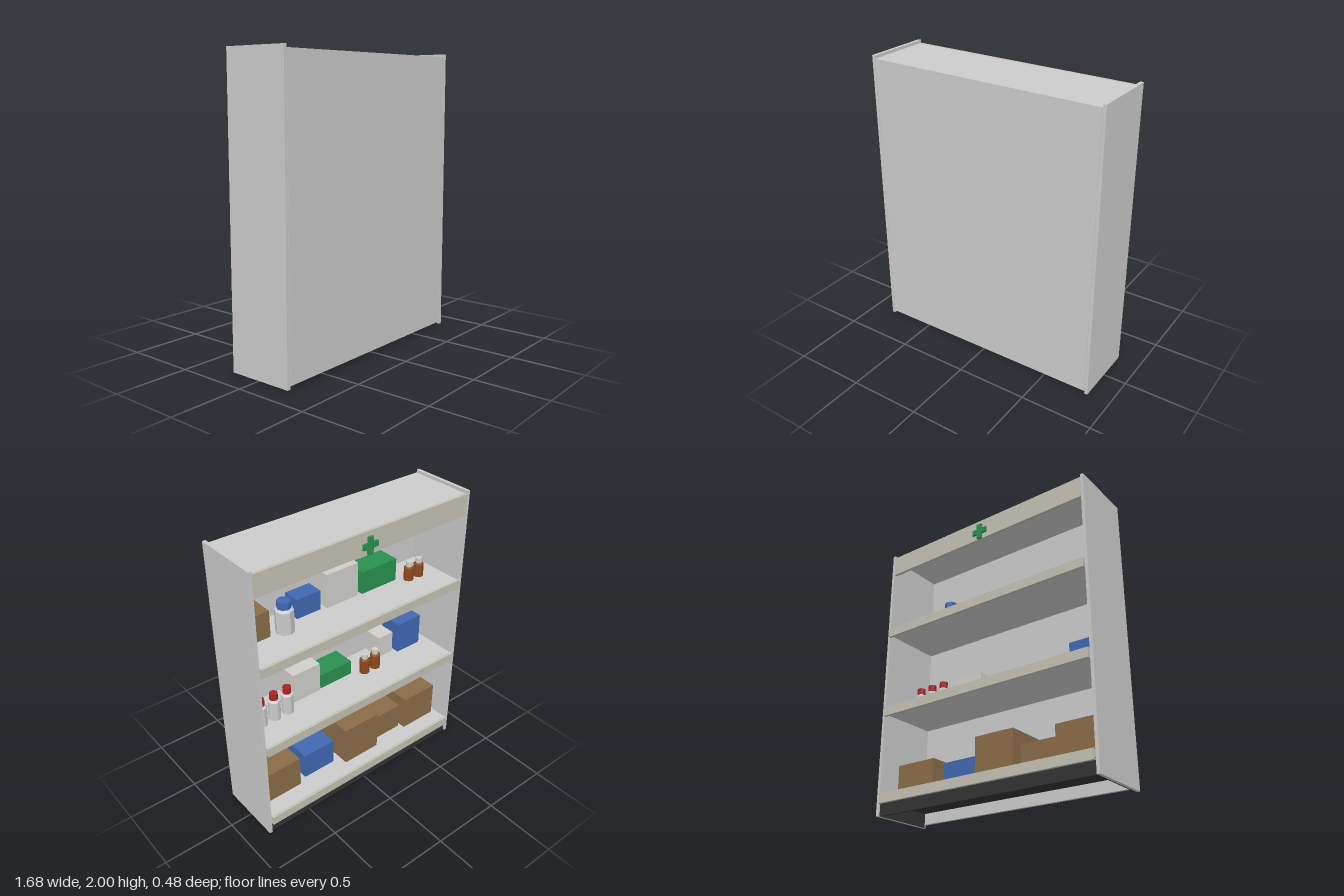
import * as THREE from 'three';

const mat = (color) => new THREE.MeshStandardMaterial({ color, flatShading: true });
const GREY = mat(0xcccccc), TRIM = mat(0xc4c1b4), DARK = mat(0x333333), BROWN = mat(0x8a6c48),
  BLUE = mat(0x4068b2), GREEN = mat(0x2a9050), PALE = mat(0xd0cfca), WHITE = mat(0xdcdcdc),
  AMBER = mat(0x8f4a1c), RED = mat(0xa82424);

export function createModel() {
  const root = new THREE.Group();

  const add = (name, geometry, material, x, y, z, parent = root) => {
    const mesh = new THREE.Mesh(geometry, material);
    mesh.name = name;
    mesh.position.set(x, y, z);
    parent.add(mesh);
    return mesh;
  };
  // Box given by its lower and upper limits on each axis
  const slab = (name, material, [x0, x1], [y0, y1], [z0, z1], parent) =>
    add(name, new THREE.BoxGeometry(x1 - x0, y1 - y0, z1 - z0), material,
      (x0 + x1) / 2, (y0 + y1) / 2, (z0 + z1) / 2, parent);

  // Cabinet shell, open towards -z
  for (const s of [-1, 1])
    add('sidePanel', new THREE.BoxGeometry(0.022, 2, 0.465), GREY, s * 0.829, 1, 0.0075);
  const inner = [-0.816, 0.816];
  slab('backPanel', GREY, inner, [0.02, 1.98], [0.22, 0.24]);
  slab('topPanel', GREY, inner, [1.96, 1.98], [-0.205, 0.22]);
  slab('header', TRIM, inner, [1.83, 1.98], [-0.225, -0.205]);

  // Green cross on the header
  const cross = new THREE.Group();
  cross.name = 'cross';
  cross.position.set(0, 1.888, -0.232);
  add('crossUpright', new THREE.BoxGeometry(0.038, 0.115, 0.016), GREEN, 0, 0, 0, cross);
  for (const s of [-1, 1])
    add('crossArm', new THREE.BoxGeometry(0.0385, 0.038, 0.016), GREEN, s * 0.03825, 0, 0, cross);
  root.add(cross);

  // Shelves with front lips
  const shelfTops = [0.13, 0.74, 1.35];
  for (const top of shelfTops) {
    slab('shelf', GREY, inner, [top - 0.03, top], [-0.222, 0.22]);
    slab('shelfLip', TRIM, inner, [top - 0.05, top + 0.015], [-0.242, -0.222]);
  }

  // Hollow dark plinth below the lowest shelf
  slab('plinthFront', DARK, inner, [0, 0.1], [-0.215, -0.2]);
  slab('plinthCover', DARK, inner, [0.097, 0.1], [-0.2, 0.22]);
  for (const s of [-1, 1])
    add('plinthEnd', new THREE.BoxGeometry(0.006, 0.098, 0.42), DARK, s * 0.813, 0.049, 0.01);

  // Boxes: shelf, material, x, z, width, height, depth
  const boxes = [
    [0, BROWN, 0.63, 0.06, 0.31, 0.235, 0.3],
    [0, BLUE, 0.285, 0.07, 0.255, 0.195, 0.255],
    [0, BROWN, -0.05, 0.035, 0.295, 0.295, 0.32],
    [0, BROWN, -0.34, 0.07, 0.255, 0.2, 0.27],
    [0, BROWN, -0.635, 0.05, 0.29, 0.26, 0.31],
    [1, PALE, 0.297, 0.13, 0.22, 0.22, 0.175],
    [1, GREEN, 0.04, 0.135, 0.265, 0.107, 0.165],
    [1, PALE, -0.435, 0.14, 0.13, 0.165, 0.13],
    [1, BLUE, -0.63, 0.125, 0.21, 0.232, 0.17],
    [2, BROWN, 0.683, 0.117, 0.233, 0.185, 0.18],
    [2, BLUE, 0.232, 0.142, 0.187, 0.14, 0.12],
    [2, PALE, -0.03, 0.14, 0.257, 0.243, 0.15],
    [2, GREEN, -0.34, 0.138, 0.3, 0.162, 0.16],
  ];
  for (const [i, material, x, z, w, h, d] of boxes)
    add('carton', new THREE.BoxGeometry(w, h, d), material, x, shelfTops[i] + h / 2, z);

  // Bottle: lathed body with a shoulder, and a cap
  const bottle = (i, x, z, r, h, capR, capH, body, cap, sides) => {
    const group = new THREE.Group();
    group.name = 'bottle';
    group.position.set(x, shelfTops[i], z);
    const profile = [[0, 0], [r, 0], [r, h * 0.92], [capR * 0.9, h], [0, h]];
    add('bottleBody', new THREE.LatheGeometry(
      profile.map(([px, py]) => new THREE.Vector2(px, py)), sides), body, 0, 0, 0, group);
    add('bottleCap', new THREE.CylinderGeometry(capR, capR, capH, sides), cap, 0, h + capH / 2, 0, group);
    root.add(group);
  };
  bottle(2, 0.46, 0.025, 0.062, 0.17, 0.046, 0.05, WHITE, BLUE, 8);
  for (let k = 0; k < 3; k++)
    bottle(1, 0.696 - k * 0.104, 0.003, 0.043, 0.155, 0.029, 0.045, WHITE, RED, 10);
  for (let k = 0; k < 2; k++) {
    bottle(1, -0.184 - k * 0.095, 0.012, 0.037, 0.115, 0.023, 0.035, AMBER, PALE, 10);
    bottle(2, -0.567 - k * 0.09, 0.01, 0.035, 0.1, 0.022, 0.035, AMBER, PALE, 10);
  }
  return root;
}
